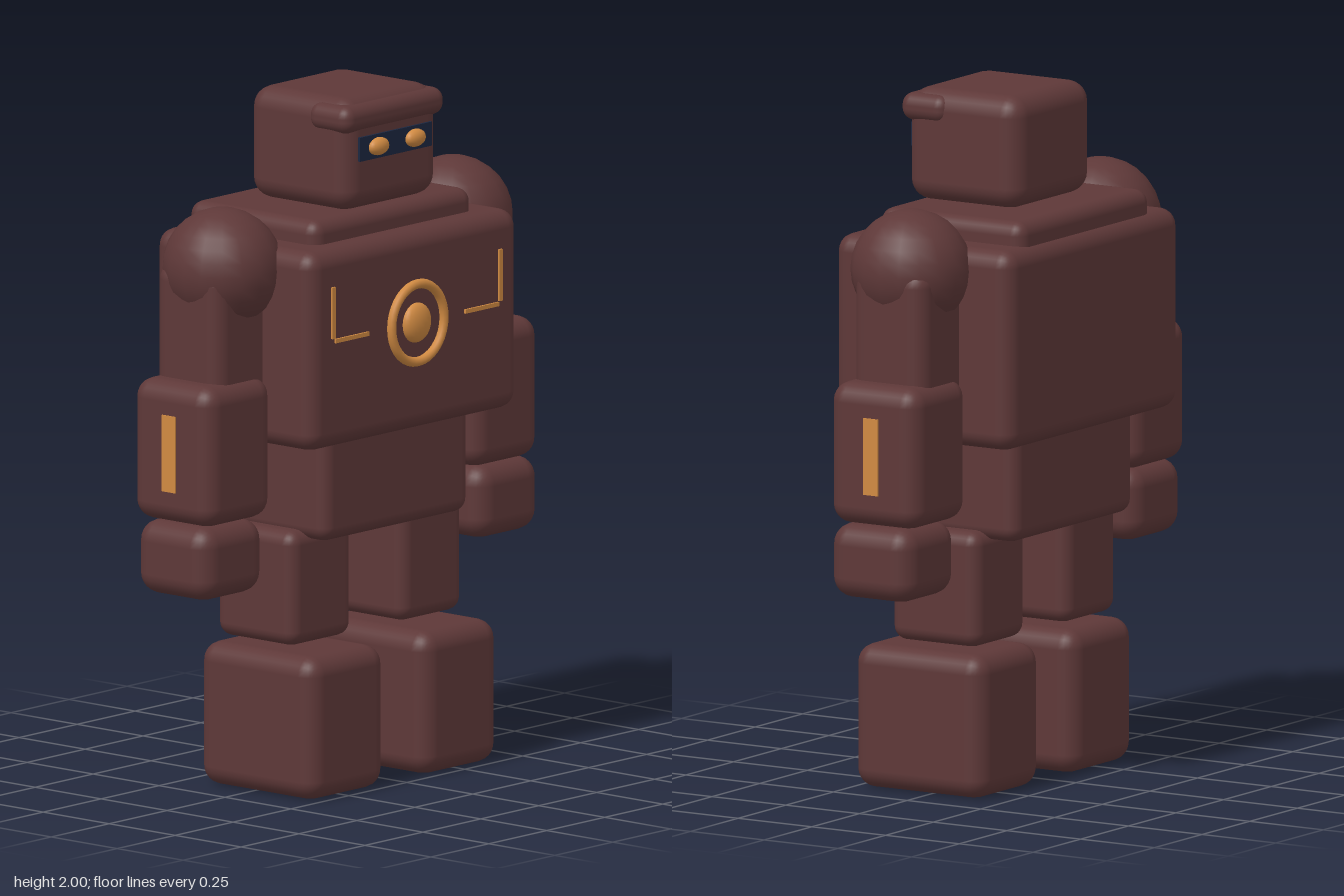
import * as THREE from 'three';
import { RoundedBoxGeometry } from 'three/addons/geometries/RoundedBoxGeometry.js';

export function createModel() {
  const model = new THREE.Group();
  model.name = 'robot';

  const material = (name, color) => {
    const m = new THREE.MeshStandardMaterial({ color });
    m.name = name;
    return m;
  };
  const body = material('maroon body', 0x5e3838);
  const gold = material('orange trim', 0xd08a42);
  const navy = material('navy visor', 0x1c2740);

  const add = (name, geometry, mat, x = 0, y = 0, z = 0) => {
    const mesh = new THREE.Mesh(geometry, mat);
    mesh.name = name;
    mesh.position.set(x, y, z);
    model.add(mesh);
    return mesh;
  };
  // Box given by its extents on each axis, with rounded edges
  const block = (name, [x0, x1], [y0, y1], [z0, z1], radius) =>
    add(name, new RoundedBoxGeometry(x1 - x0, y1 - y0, z1 - z0, 3, radius), body,
      (x0 + x1) / 2, (y0 + y1) / 2, (z0 + z1) / 2);
  const plate = (name, w, h, d, mat, x, y, z) =>
    add(name, new THREE.BoxGeometry(w, h, d), mat, x, y, z);
  const ellipsoid = (name, mat, x, y, z, rx, ry, rz) =>
    add(name, new THREE.SphereGeometry(1, 18, 14), mat, x, y, z).scale.set(rx, ry, rz);

  // Head with brow and visor
  block('head', [-0.205, 0.205], [1.675, 2.0], [-0.182, 0.202], 0.06);
  block('brow', [-0.217, 0.217], [1.905, 1.985], [0.058, 0.214], 0.035);
  plate('visor', 0.31, 0.07, 0.009, navy, 0, 1.857, 0.205);

  // Torso
  block('collar', [-0.343, 0.343], [1.54, 1.672], [-0.287, 0.205], 0.04);
  block('chest', [-0.452, 0.452], [1.027, 1.605], [-0.317, 0.285], 0.05);
  block('abdomen', [-0.315, 0.315], [0.737, 1.15], [-0.247, 0.217], 0.04);

  // Chest emblem
  add('chestRing', new THREE.TorusGeometry(0.113, 0.014, 10, 36), gold, 0, 1.342, 0.291);
  ellipsoid('chestCore', gold, 0, 1.342, 0.285, 0.058, 0.058, 0.028);

  for (const s of [1, -1]) {
    const side = s > 0 ? 'left' : 'right';
    const span = (a, b) => (s > 0 ? [a, b] : [-b, -a]);

    ellipsoid(side + 'Eye', gold, s * 0.079, 1.857, 0.212, 0.04, 0.026, 0.022);

    // Corner trim on the chest
    plate(side + 'TrimUpright', 0.014, 0.15, 0.009, gold, s * 0.36, 1.425, 0.287);
    plate(side + 'TrimBar', 0.145, 0.012, 0.009, gold, s * 0.28, 1.342, 0.287);

    // Arm
    ellipsoid(side + 'Shoulder', body, s * 0.497, 1.54, -0.012, 0.17, 0.172, 0.175);
    block(side + 'UpperArm', span(0.36, 0.646), [1.15, 1.56], [-0.145, 0.1], 0.05);
    block(side + 'Forearm', span(0.433, 0.719), [0.824, 1.232], [-0.17, 0.132], 0.055);
    block(side + 'Hand', span(0.459, 0.729), [0.61, 0.824], [-0.15, 0.127], 0.06);
    plate(side + 'ForearmStripe', 0.009, 0.222, 0.05, gold, s * 0.7185, 1.029, -0.019);

    // Leg
    block(side + 'Thigh', span(0.104, 0.372), [0.432, 0.765], [-0.153, 0.143], 0.04);
    block(side + 'Foot', span(0.08, 0.408), [0, 0.415], [-0.19, 0.25], 0.055);
  }
  return model;
}
